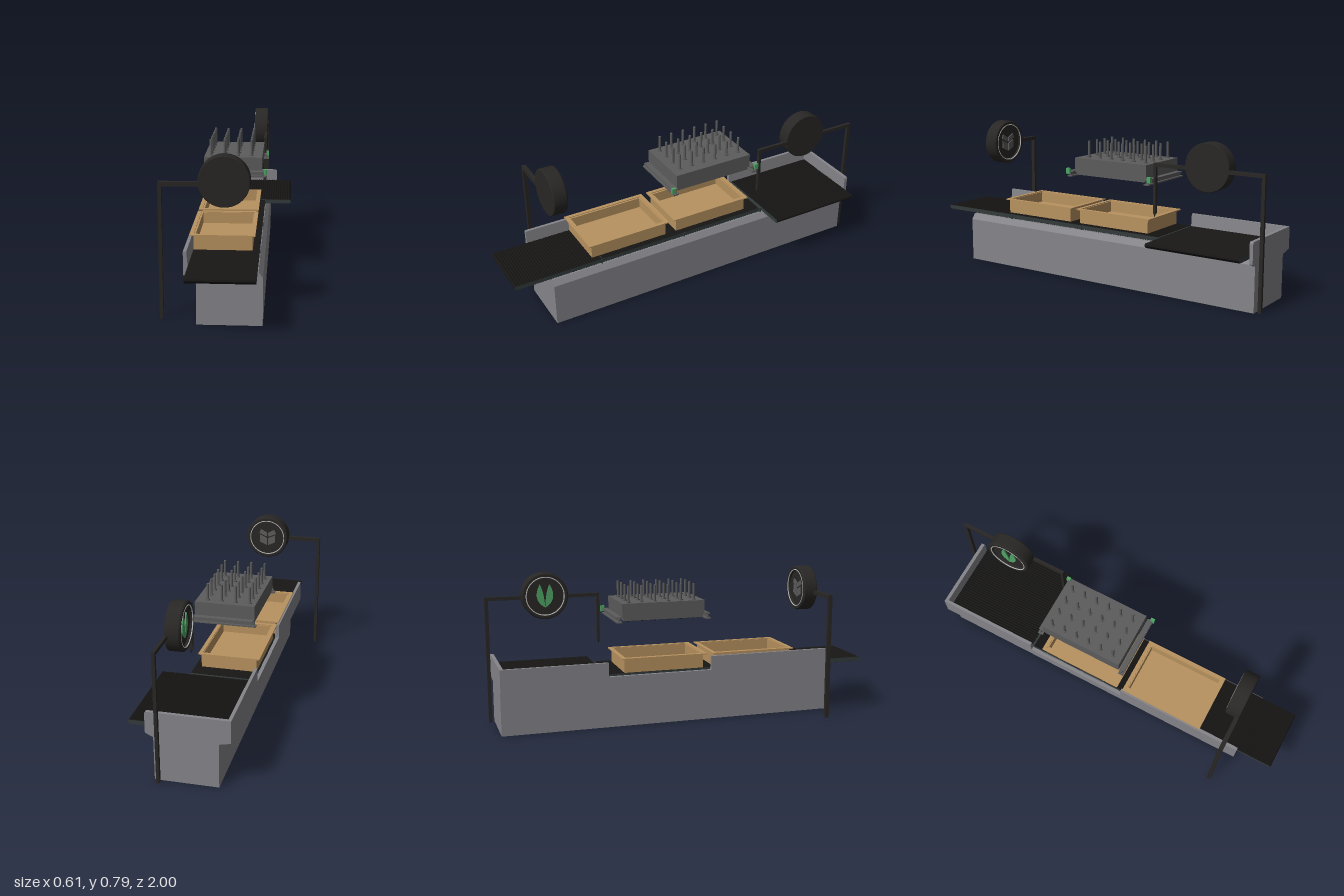
import * as THREE from 'three';
import { toCreasedNormals } from 'three/addons/utils/BufferGeometryUtils.js';

const mat = (color) => new THREE.MeshStandardMaterial({ color });
const grey = mat(0x85858a), black = mat(0x282725), belt = mat(0x161514), chain = mat(0x333b3b);
const steel = mat(0x5c5c5c), tan = mat(0xb8925f), green = mat(0x4fa566), silver = mat(0xbbbbbb);

function add(parent, name, geometry, material, x = 0, y = 0, z = 0) {
  const mesh = new THREE.Mesh(geometry, material);
  mesh.name = name;
  mesh.position.set(x, y, z);
  parent.add(mesh);
  return mesh;
}

// Box given by its limits on each axis
function span(parent, name, material, [x0, x1], [y0, y1], [z0, z1]) {
  return add(parent, name, new THREE.BoxGeometry(x1 - x0, y1 - y0, z1 - z0), material,
    (x0 + x1) / 2, (y0 + y1) / 2, (z0 + z1) / 2);
}

function prism(points, depth) {
  const shape = new THREE.Shape(points.map((p) => new THREE.Vector2(...p)));
  return new THREE.ExtrudeGeometry(shape, { depth, bevelEnabled: false });
}

// Toothed belt loop running along x, centred on the origin
function beltGeometry(length, width) {
  const pts = [], n = Math.round(length / 0.014), h = length / 2 - 0.012;
  for (const s of [-1, 1]) {
    pts.push([s * (h + 0.004), s * 0.009]);
    for (let i = 0; i <= 2 * n; i++) {
      pts.push([s * (-h + (i / (2 * n)) * 2 * h), s * (i % 2 ? 0.009 : 0.013)]);
      if (i === 0) pts.splice(pts.length - 2, 1);
    }
    pts.push([s * (h + 0.009), s * 0.008], [s * (h + 0.012), 0]);
  }
  // the top run goes right to left so that the outline closes
  return prism(pts.map(([x, y]) => [x, y]), width).translate(0, 0, -width / 2);
}

// Open tray with sloping sides and a flat rim
function tray(parent, zc) {
  const g = new THREE.Group();
  g.name = 'tray';
  g.position.set(-0.024, 0, zc);
  parent.add(g);
  span(g, 'trayFloor', tan, [-0.13, 0.138], [0.29, 0.308], [-0.207, 0.207]);
  for (const s of [-1, 1]) {
    const wx = s < 0 ? -0.134 : 0.14;
    span(g, 'traySide', tan, [wx - 0.005, wx + 0.005], [0.29, 0.364], [-0.212, 0.212]);
    const wz = s * 0.207;
    span(g, 'trayEnd', tan, [-0.134, 0.14], [0.29, 0.364], [wz - 0.005, wz + 0.005]);
    const rx = s * 0.148;
    span(g, 'trayRim', tan, [rx - 0.01, rx + 0.01], [0.362, 0.368], [-0.228, 0.228]);
    const rz = s * 0.218;
    span(g, 'trayRim', tan, [-0.148, 0.148], [0.362, 0.368], [rz - 0.01, rz + 0.01]);
  }
}

// Round sign: closed back at local y = 0, recessed face towards +y
function signDisc(parent, name) {
  const g = new THREE.Group();
  g.name = name;
  parent.add(g);
  const profile = [[0, 0], [0.117, 0], [0.12, 0.004], [0.12, 0.068], [0.115, 0.075],
    [0.1, 0.075], [0.096, 0.06], [0, 0.06]].map((p) => new THREE.Vector2(...p));
  add(g, 'signCase', toCreasedNormals(new THREE.LatheGeometry(profile, 56), 0.5), black);
  add(g, 'signRing', new THREE.TorusGeometry(0.099, 0.003, 8, 56).rotateX(Math.PI / 2), silver, 0, 0.074);
  return g;
}

export function createModel() {
  const model = new THREE.Group();
  model.name = 'conveyorMachine';

  // Long cabinet with a flared trough edge, high at both ends and low in the middle
  const low = [[-0.13, 0], [0.178, 0], [0.178, 0.232], [0.157, 0.262], [-0.165, 0.266],
    [-0.17, 0.28], [-0.188, 0.28], [-0.188, 0.24], [-0.13, 0.23]];
  const high = low.map((p) => [...p]);
  high[5] = [-0.172, 0.353];
  high[6] = [-0.188, 0.353];
  for (const [name, pts, z0, z1] of [['frontCabinet', high, 0.12, 0.805],
    ['middleCabinet', low, -0.43, 0.12], ['rearCabinet', high, -0.97, -0.43]]) {
    add(model, name, prism(pts, z1 - z0), grey, 0, 0, z0);
  }
  add(model, 'rearWall', prism([[-0.13, 0.228], [0.178, 0.228], [0.205, 0.24], [0.215, 0.245],
    [0.215, 0.345], [0.21, 0.353], [-0.188, 0.353], [-0.188, 0.24]], 0.018), grey, 0, 0, -0.975);

  // Long belt, then the cross belt that feeds out to the left
  const main = add(model, 'mainBelt', beltGeometry(1.43, 0.318), [chain, belt], -0.005, 0.278, 0.285);
  main.rotation.y = -Math.PI / 2;
  add(model, 'crossBelt', beltGeometry(0.468, 0.51), [chain, belt], 0.07, 0.278, -0.695);
  for (const z of [0.53, 0.05, -0.43]) {
    span(model, 'beltJoint', chain, [-0.164, 0.158], [0.264, 0.289], [z - 0.004, z + 0.004]);
  }

  tray(model, 0.357);
  tray(model, -0.13);

  // Press head with pins above and nozzles below
  const press = new THREE.Group();
  press.name = 'pressHead';
  model.add(press);
  span(press, 'pressBody', steel, [-0.153, 0.15], [0.572, 0.645], [-0.348, 0.092]);
  span(press, 'pressSkirt', steel, [-0.15, 0.147], [0.556, 0.572], [-0.34, 0.085]);
  for (let i = 0; i < 4; i++) {
    for (let j = 0; j < 6; j++) {
      const x = -0.12 + i * 0.071, z = -0.308 + j * 0.07;
      add(press, 'pin', new THREE.CylinderGeometry(0.0065, 0.0065, 0.085, 12), steel, x, 0.688, z);
      add(press, 'pinCollar', new THREE.CylinderGeometry(0.011, 0.011, 0.006, 12), steel, x, 0.648, z);
      add(press, 'nozzle', new THREE.CylinderGeometry(0.01, 0.006, 0.01, 12), black, x, 0.552, z);
    }
  }
  // Guide rails at both ends of the press, with green sensors
  for (const [z, s] of [[0.108, 1], [-0.364, -1]]) {
    span(press, 'guideRail', steel, [-0.165, 0.175], [0.547, 0.554], [z - 0.014, z + 0.014]);
    span(press, 'guideLip', steel, [-0.15, 0.165], [0.57, 0.577], [z - 0.014, z + 0.014]);
    span(press, 'guideWeb', steel, [-0.158, 0.168], [0.554, 0.57], [z - 0.003, z + 0.003]);
    const gz = z + s * 0.013;
    span(press, 'sensor', green, [0.16, 0.175], [0.56, 0.59], [gz - 0.011, gz + 0.011]);
  }

  // Front sign on its post, facing back along the belt
  span(model, 'frontPost', black, [-0.307, -0.29], [0, 0.663], [0.724, 0.746]);
  span(model, 'frontArm', black, [-0.307, -0.1], [0.642, 0.663], [0.724, 0.746]);
  const front = signDisc(model, 'frontSign');
  front.position.set(-0.004, 0.665, 0.746);
  front.rotation.x = -Math.PI / 2;
  // Raised open-box pictogram: two box sides and two flaps
  for (const s of [-1, 1]) {
    const side = [[0.003, -0.05], [0.045, -0.03], [0.045, 0.012], [0.003, -0.008]];
    const flap = [[0.005, 0.002], [0.05, 0.022], [0.04, 0.045], [0.003, 0.025]];
    for (const part of [side, flap]) {
      add(front, 'boxSymbol', prism(part.map(([x, y]) => [s * x, y]), 0.006)
        .rotateZ(Math.PI).rotateX(-Math.PI / 2), steel, 0, 0.06);
    }
  }

  // Rear sign on a frame that runs along the left side
  span(model, 'rearPost', black, [0.146, 0.162], [0, 0.663], [-1, -0.982]);
  span(model, 'rearArm', black, [0.146, 0.162], [0.645, 0.663], [-1, -0.398]);
  span(model, 'hangingRod', black, [0.146, 0.162], [0.41, 0.663], [-0.412, -0.398]);
  add(model, 'rodTip', new THREE.ConeGeometry(0.009, 0.025, 4, 1).rotateX(Math.PI), black, 0.156, 0.4, -0.404);
  const rear = signDisc(model, 'rearSign');
  rear.position.set(0.162, 0.665, -0.695);
  rear.rotation.z = Math.PI / 2;
  // Raised leaf pictogram
  for (const s of [-1, 1]) {
    const leaf = new THREE.Shape();
    leaf.moveTo(-0.06, 0);
    leaf.quadraticCurveTo(-0.02, s * 0.07, 0.06, s * 0.025);
    leaf.quadraticCurveTo(0.02, s * 0.005, -0.06, 0);
    add(rear, 'leafSymbol', new THREE.ExtrudeGeometry(leaf, { depth: 0.006, bevelEnabled: false })
      .rotateX(-Math.PI / 2), green, 0, 0.06);
  }
  return model;
}
